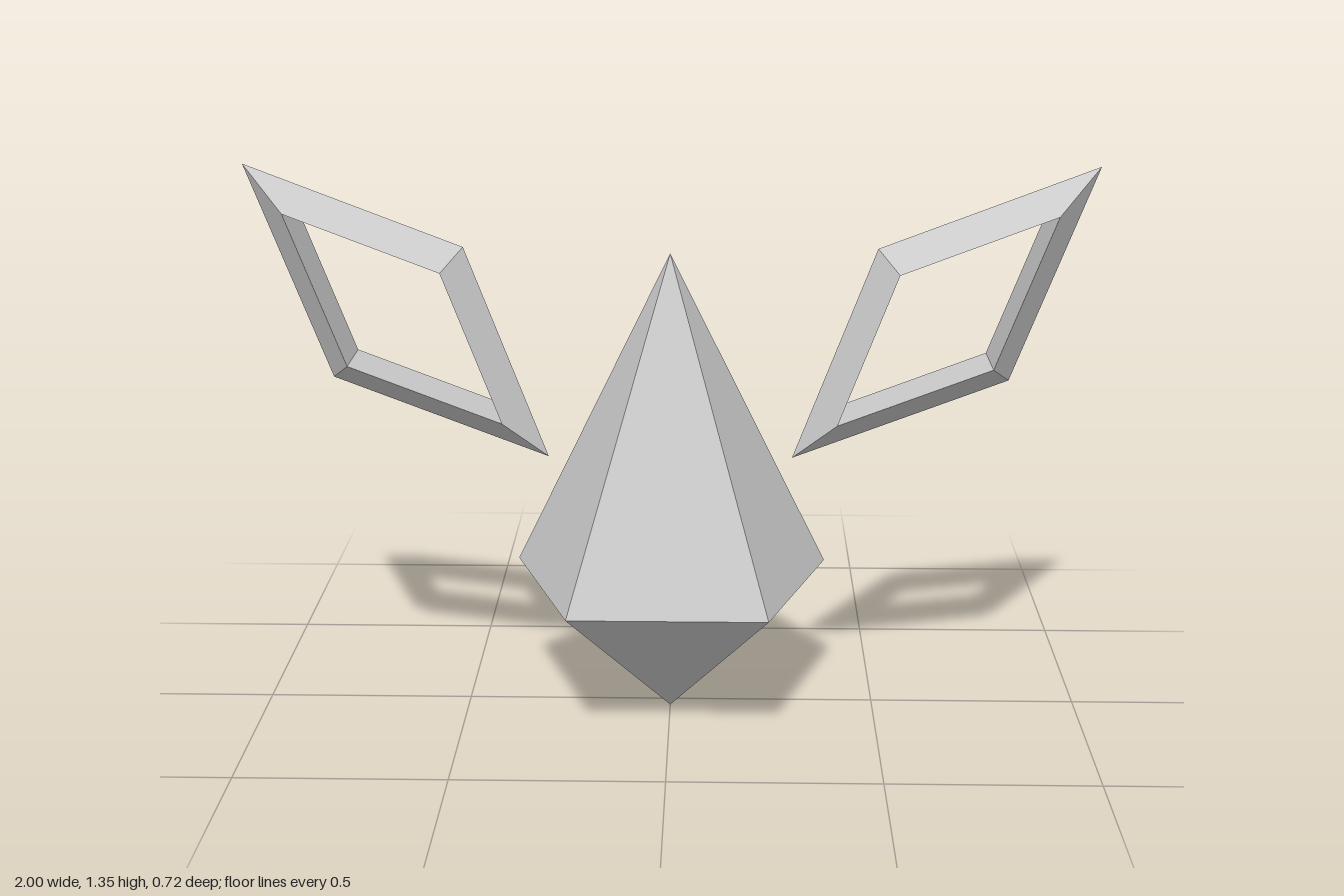
import * as THREE from 'three';

export function createModel() {
  const model = new THREE.Group();
  const material = new THREE.MeshStandardMaterial({ color: 0xcccccc, flatShading: true });
  const midZ = 0.04;
  const waistY = 0.34;

  const add = (name, geometry, x, y) => {
    const mesh = new THREE.Mesh(geometry, material);
    mesh.name = name;
    mesh.position.set(x, y, midZ);
    model.add(mesh);
    return mesh;
  };

  // Five-sided crystal body: tall upper spire and shorter lower point,
  // with one corner of the waist facing the back
  const upperHeight = 0.8;
  const upper = new THREE.ConeGeometry(0.4, upperHeight, 5, 1, true);
  upper.rotateY(Math.PI);
  add('upperBody', upper, 0, waistY + upperHeight / 2);

  const lower = new THREE.ConeGeometry(0.4, waistY, 5, 1, true);
  lower.rotateX(Math.PI);
  add('lowerBody', lower, 0, waistY / 2);

  // Diamond-shaped wing frames: four bars of triangular section, sharp edge outward
  for (const side of [1, -1]) {
    const frame = new THREE.TorusGeometry(0.4025, 0.0975, 3, 4);
    frame.scale(1, 0.4475, 1);
    frame.rotateZ(side > 0 ? Math.PI / 4 : (3 * Math.PI) / 4);
    add(side > 0 ? 'leftWing' : 'rightWing', frame, side * 0.6465, 0.995);
  }

  return model;
}
